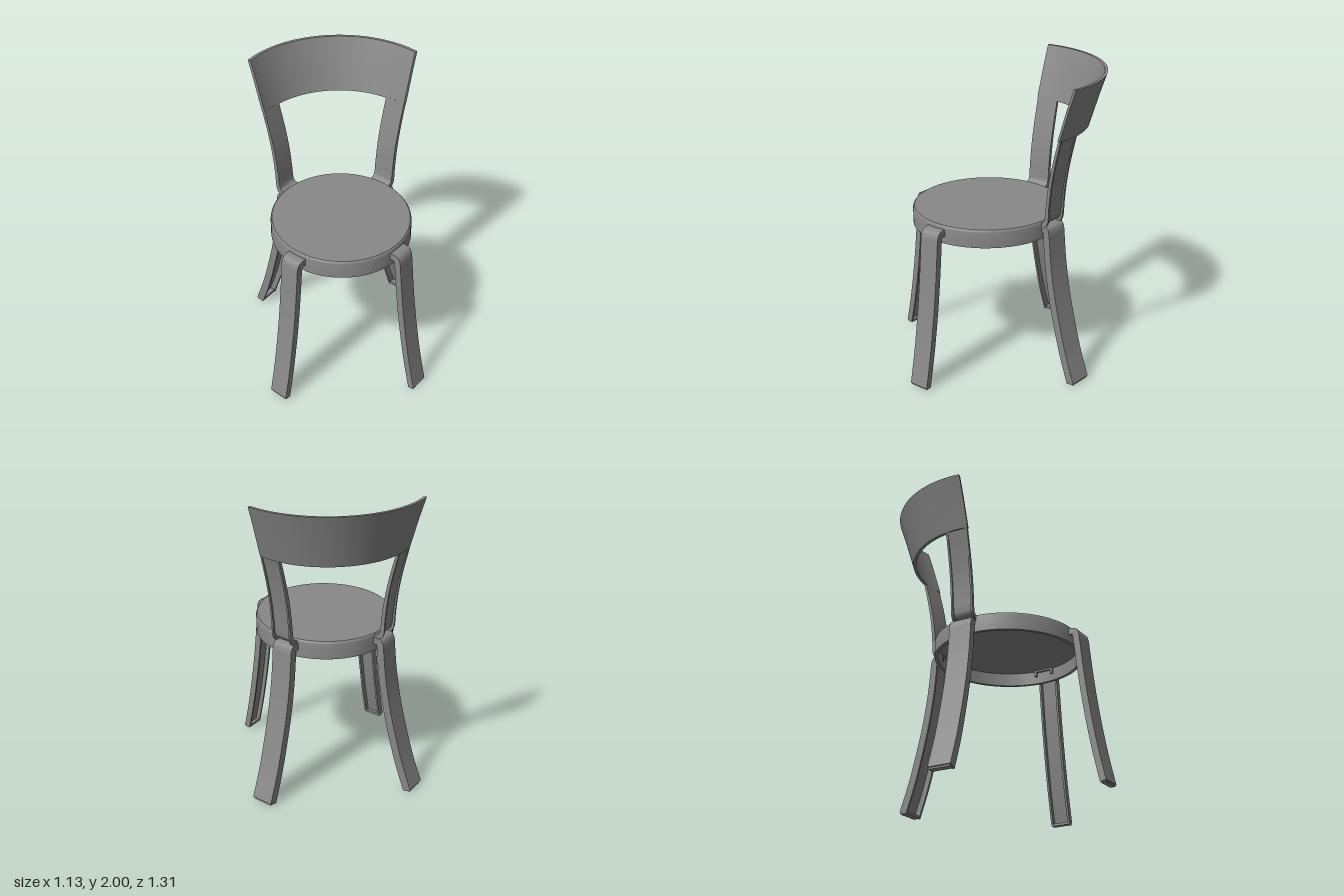
import * as THREE from 'three';
import { toCreasedNormals } from 'three/addons/utils/BufferGeometryUtils.js';

const grey = new THREE.MeshStandardMaterial({ color: 0x888888 });
grey.name = 'grey';

// Skin a row of equal closed loops; capQuads closes both ends.
function skin(loops, capQuads) {
  const n = loops[0].length, last = (loops.length - 1) * n;
  const index = [];
  const quad = (a, b, c, d) => index.push(a, b, c, a, c, d);
  for (let i = 0; i < loops.length - 1; i++) {
    for (let j = 0; j < n; j++) {
      const k = (j + 1) % n;
      quad(i * n + j, i * n + k, (i + 1) * n + k, (i + 1) * n + j);
    }
  }
  for (const [a, b, c, d] of capQuads) {
    quad(d, c, b, a);
    quad(last + a, last + b, last + c, last + d);
  }
  const geo = new THREE.BufferGeometry();
  geo.setAttribute('position', new THREE.Float32BufferAttribute(loops.flat(2), 3));
  geo.setIndex(index);
  return toCreasedNormals(geo, 0.6);
}

// Bent U-channel along a path of [radius, height]; local z points outwards.
function channel(path, width, depthStart, depthEnd, wall) {
  const curve = new THREE.CatmullRomCurve3(path.map(([r, y]) => new THREE.Vector3(0, y, r)), false, 'centripetal');
  const steps = 36, h = width / 2, loops = [];
  for (let i = 0; i <= steps; i++) {
    const p = curve.getPoint(i / steps), t = curve.getTangent(i / steps);
    const d = THREE.MathUtils.lerp(depthStart, depthEnd, i / steps), k = wall;
    const section = [[-h, 0], [h, 0], [h, d], [h - k, d], [h - k, k], [k - h, k], [k - h, d], [-h, d]];
    loops.push(section.map(([s, e]) => [s, p.y + e * t.z, p.z - e * t.y]));
  }
  return skin(loops, [[0, 1, 4, 5], [1, 2, 3, 4], [0, 5, 6, 7]]);
}

function addMesh(parent, name, geo) {
  const mesh = new THREE.Mesh(geo, grey);
  mesh.name = name;
  parent.add(mesh);
  return mesh;
}

export function createModel() {
  const chair = new THREE.Group();
  chair.name = 'chair';

  // Oval seat, hollow underneath
  const profile = [[0, 1.06], [0.955, 1.06], [0.955, 0.97], [1, 0.97], [1, 1.072], [0.995, 1.083], [0.98, 1.09], [0, 1.09]];
  const seatGeo = new THREE.LatheGeometry(profile.map(([r, y]) => new THREE.Vector2(r, y)), 72);
  seatGeo.scale(0.457, 1, 0.49);
  addMesh(chair, 'seat', toCreasedNormals(seatGeo, 0.6)).position.z = 0.1;

  // Legs curve up and hook in under the seat
  const frontPath = [[0.645, 0.012], [0.605, 0.2], [0.57, 0.4], [0.541, 0.6], [0.518, 0.8], [0.502, 0.97],
    [0.496, 1.02], [0.482, 1.05], [0.452, 1.063], [0.385, 1.063]];
  const backPath = [[0.69, 0.014], [0.623, 0.2], [0.566, 0.4], [0.518, 0.6], [0.484, 0.8], [0.466, 0.97],
    [0.461, 1.02], [0.449, 1.05], [0.425, 1.063], [0.365, 1.063]];
  // Back posts run from the backrest down to the seat rim, open to the rear
  const postPath = [[0.531, 1.665], [0.488, 1.5], [0.457, 1.35], [0.438, 1.2], [0.432, 1.13],
    [0.425, 1.1], [0.408, 1.085], [0.38, 1.08]];

  for (const side of [1, -1]) {
    const label = side > 0 ? 'Left' : 'Right';
    const leg = (name, path, z, angle, width, depth) => {
      const group = new THREE.Group();
      group.name = name + label;
      group.position.z = z;
      group.rotation.y = side * angle;
      addMesh(group, name + 'Channel', channel(path, width, depth, 0.045, 0.014));
      // Foot pad closing the channel
      const pad = addMesh(group, name + 'Foot', new THREE.BoxGeometry(width - 0.008, 0.016, depth - 0.008));
      pad.position.set(0, 0.008, path[0][0] - depth / 2 - 0.002);
      chair.add(group);
    };
    leg('frontLeg', frontPath, 0.165, 0.826, 0.134, 0.042);
    leg('backLeg', backPath, 0, 2.295, 0.152, 0.055);

    const post = addMesh(chair, 'backPost' + label, channel(postPath, 0.152, 0.018, 0.036, 0.013));
    post.rotation.y = side * 2.28;
  }

  // Flared curved backrest panel: [outer radius, height, end angle]
  const rows = [[0.55, 1.655, 1.01], [0.578, 1.75, 0.998], [0.61, 1.86, 0.985], [0.655, 2, 0.968]];
  const loops = [];
  for (let i = 0; i <= 48; i++) {
    const f = i / 24 - 1;
    const at = (inset) => ([r, y, end]) => [(r - inset) * Math.sin(f * end), y, -(r - inset) * Math.cos(f * end)];
    loops.push([...rows.map(at(0)), ...rows.map(at(0.02)).reverse()]);
  }
  addMesh(chair, 'backrest', skin(loops, [[0, 1, 6, 7], [1, 2, 5, 6], [2, 3, 4, 5]]));

  return chair;
}
